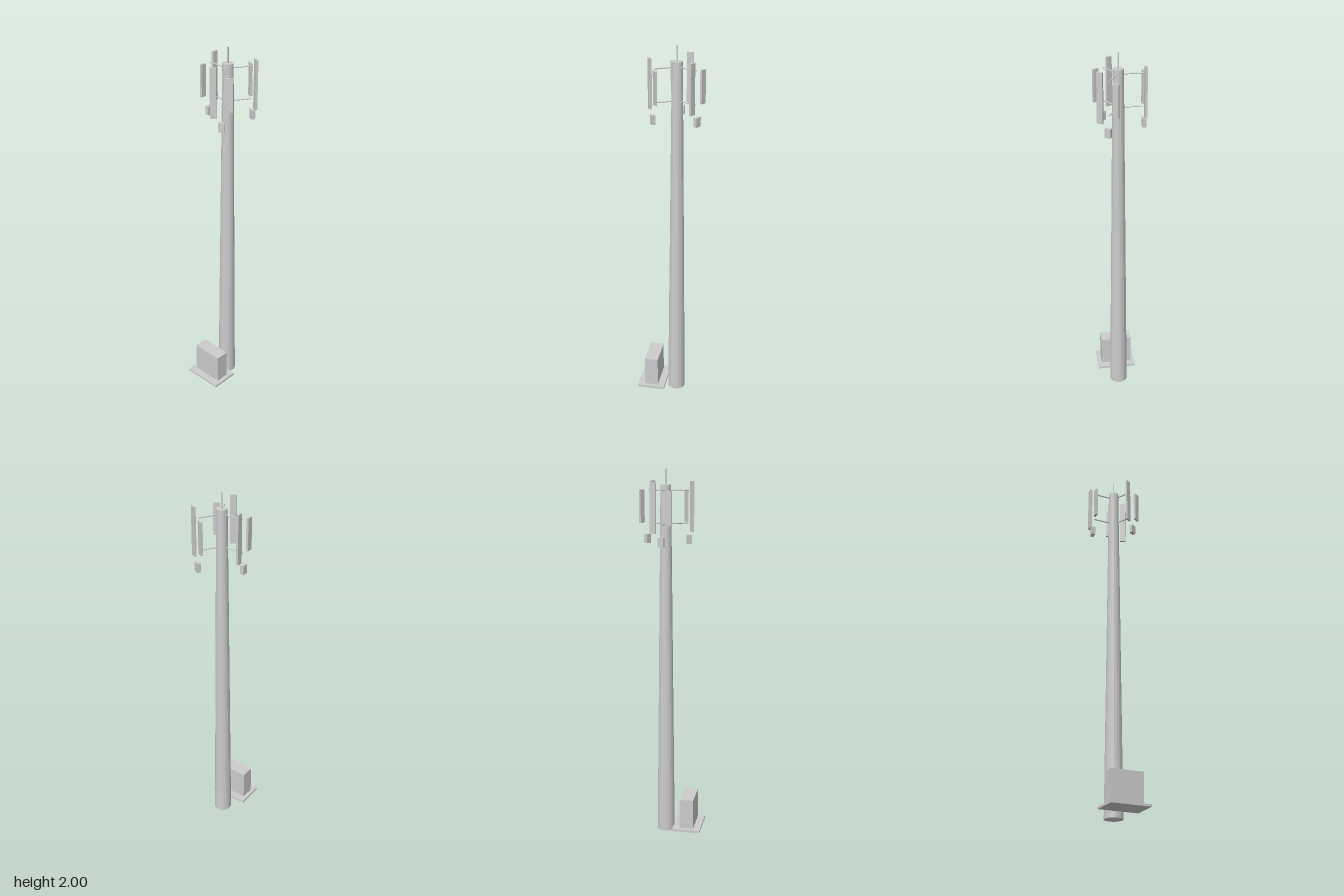
import * as THREE from 'three';

const MAST_X = 0.01, MAST_Z = -0.031;

export function createModel() {
  const group = new THREE.Group();
  group.name = 'cellTower';
  const grey = new THREE.MeshStandardMaterial({ name: 'light grey', color: 0xcccccc, flatShading: true });

  function add(parent, name, geometry, x, y, z) {
    const mesh = new THREE.Mesh(geometry, grey);
    mesh.name = name;
    mesh.position.set(x, y, z);
    parent.add(mesh);
    return mesh;
  }
  const box = (parent, name, w, h, d, x, y, z) =>
    add(parent, name, new THREE.BoxGeometry(w, h, d), x, y, z);

  // Tapered mast and lightning rod
  add(group, 'mast', new THREE.CylinderGeometry(0.028, 0.049, 1.92, 18), MAST_X, 0.96, MAST_Z);
  add(group, 'lightningRod', new THREE.CylinderGeometry(0.004, 0.004, 0.09, 8), MAST_X, 1.955, MAST_Z);

  // Three antenna sectors, each built pointing along +x
  for (let i = 0; i < 3; i++) {
    const sector = new THREE.Group();
    sector.name = 'antennaSector' + (i + 1);
    sector.position.set(MAST_X, 0, MAST_Z);
    sector.rotation.y = Math.PI / 3 + i * Math.PI * 2 / 3;
    for (const y of [1.72, 1.892]) {
      const arm = add(sector, 'supportArm', new THREE.CylinderGeometry(0.0035, 0.0035, 0.106, 8), 0.068, y, 0);
      arm.rotation.z = Math.PI / 2;
    }
    box(sector, 'tallPanel', 0.012, 0.26, 0.031, 0.131, 1.808, 0.042);
    box(sector, 'shortPanel', 0.012, 0.172, 0.031, 0.131, 1.806, -0.042);
    box(sector, 'radioUnit', 0.02, 0.048, 0.032, 0.131, 1.634, 0);
    group.add(sector);
  }

  // Equipment cabinet on its raised slab
  box(group, 'slab', 0.218, 0.012, 0.154, 0.01, 0.036, 0.1);
  box(group, 'cabinet', 0.174, 0.168, 0.075, 0.01, 0.126, 0.1);

  return group;
}
